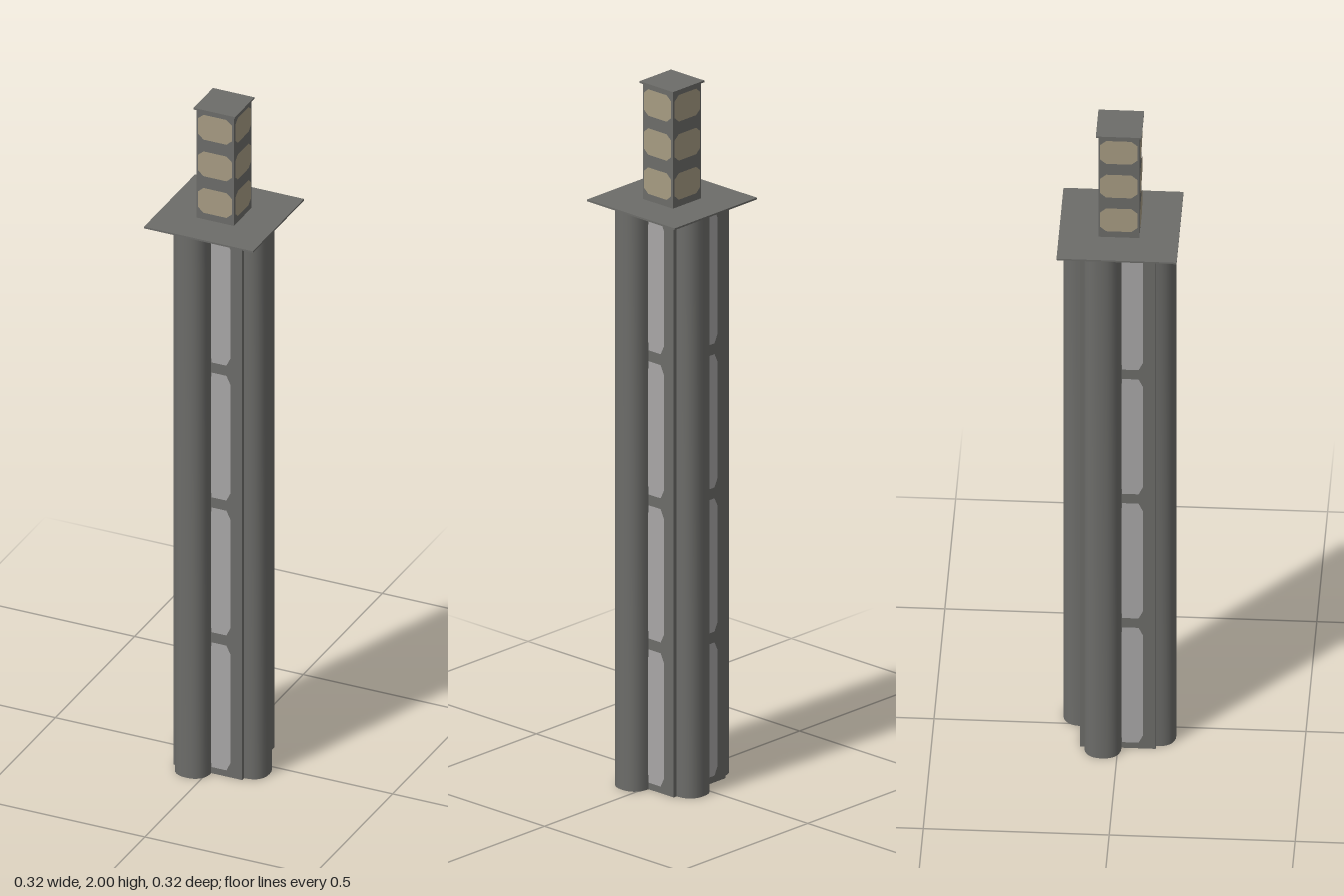
import * as THREE from 'three';
import { toCreasedNormals } from 'three/addons/utils/BufferGeometryUtils.js';

const material = (name, color) => {
  const m = new THREE.MeshStandardMaterial({ color });
  m.name = name;
  return m;
};

// Flat panel with chamfered corners; the left cut may be smaller than the right
function panelGeometry(x0, x1, y0, y1, cutL, cutR, cutY) {
  return new THREE.ShapeGeometry(new THREE.Shape([
    [x0 + cutL, y0], [x1 - cutR, y0], [x1, y0 + cutY], [x1, y1 - cutY],
    [x1 - cutR, y1], [x0 + cutL, y1], [x0, y1 - cutY], [x0, y0 + cutY],
  ].map(([x, y]) => new THREE.Vector2(x, y))));
}

export function createModel() {
  const stone = material('dark stone', 0x6c6c69);
  const glass = material('pale window', 0xa8a6a6);
  const louvre = material('tan louvre', 0xa69b82);

  const model = new THREE.Group();
  model.name = 'tower';
  const add = (parent, name, geometry, mat, y = 0, z = 0) => {
    const mesh = new THREE.Mesh(geometry, mat);
    mesh.name = name;
    mesh.position.set(0, y, z);
    parent.add(mesh);
    return mesh;
  };

  const HALF = 0.102, SHAFT = 1.66, TOP = 0.055;

  // Shaft: square plan with one off-centre rounded lobe per side
  const side = [[-HALF, HALF]];
  for (let i = 0; i <= 14; i++) {
    const a = Math.PI * (1 - i / 14);
    const c = Math.cos(a), s = Math.max(0, Math.sin(a));
    side.push([
      -0.04 + 0.05 * Math.sign(c) * Math.pow(Math.abs(c), 0.85),
      HALF + 0.052 * Math.pow(s, 0.85),
    ]);
  }
  const plan = [];
  for (let k = 0; k < 4; k++) {
    for (const [px, pz] of side) {
      let x = px, z = pz;
      for (let j = 0; j < k; j++) [x, z] = [z, -x];
      plan.push(new THREE.Vector2(x, -z));
    }
  }
  const shaft = new THREE.ExtrudeGeometry(new THREE.Shape(plan), { depth: SHAFT, bevelEnabled: false });
  shaft.rotateX(-Math.PI / 2);
  add(model, 'shaft', toCreasedNormals(shaft, 0.7), stone);

  // Roof slab, upper turret and its cap
  add(model, 'roofSlab', new THREE.BoxGeometry(0.323, 0.005, 0.323), stone, SHAFT);
  add(model, 'turret', new THREE.BoxGeometry(TOP * 2, 0.34, TOP * 2), stone, SHAFT + 0.168);
  add(model, 'turretCap', new THREE.BoxGeometry(0.123, 0.005, 0.123), stone, 1.9975);

  // Window strips and louvres, repeated on each side
  for (let k = 0; k < 4; k++) {
    const face = new THREE.Group();
    face.name = 'facade' + (k + 1);
    face.rotation.y = k * Math.PI / 2;
    model.add(face);
    for (let i = 0; i < 4; i++) {
      const y = 0.02 + i * 0.413;
      add(face, 'window', panelGeometry(0.01, 0.068, y, y + 0.382, 0.002, 0.012, 0.025), glass, 0, HALF + 0.002);
    }
    for (let i = 0; i < 3; i++) {
      const y = 1.683 + i * 0.112;
      add(face, 'louvre', panelGeometry(-0.05, 0.05, y, y + 0.076, 0.016, 0.016, 0.014), louvre, 0, TOP + 0.002);
    }
  }
  return model;
}
